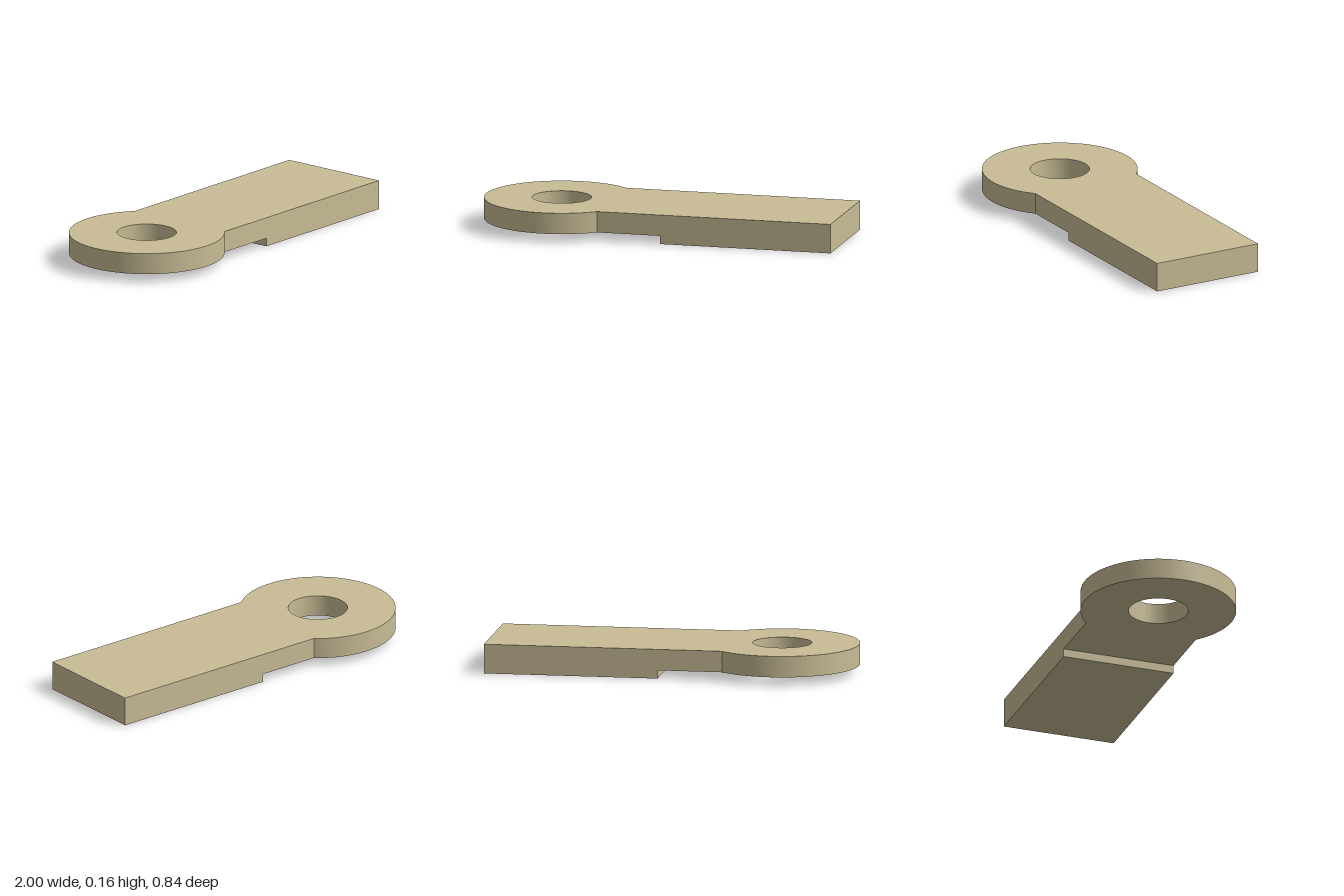
import * as THREE from 'three';
import { toCreasedNormals } from 'three/addons/utils/BufferGeometryUtils.js';

export function createModel() {
  const group = new THREE.Group();
  const material = new THREE.MeshStandardMaterial({ color: 0xc8bc96 });

  const top = 0.16, step = 0.045;          // top face and underside of the thin part
  const eyeX = -0.58, eyeR = 0.42, holeR = 0.16;
  const halfWidth = 0.315, endX = 1, padX = 0.05;

  // Plate outline: round eye running into a straight bar
  const joint = Math.asin(halfWidth / eyeR);
  const outline = new THREE.Shape();
  outline.moveTo(endX, -halfWidth);
  outline.lineTo(endX, halfWidth);
  outline.absarc(eyeX, 0, eyeR, joint, Math.PI * 2 - joint, false);
  outline.closePath();

  // Round hole through the eye
  const hole = new THREE.Path();
  hole.absarc(eyeX, 0, holeR, 0, Math.PI * 2, true);
  outline.holes.push(hole);

  const plateGeometry = new THREE.ExtrudeGeometry(outline, {
    depth: top - step, bevelEnabled: false, curveSegments: 72,
  });
  plateGeometry.rotateX(-Math.PI / 2).translate(0, step, 0);
  const plate = new THREE.Mesh(toCreasedNormals(plateGeometry, Math.PI / 6), material);
  plate.name = 'eyePlate';
  group.add(plate);

  // Thicker underside of the bar, ending in a step
  const pad = new THREE.Mesh(new THREE.BoxGeometry(endX - padX, step, halfWidth * 2), material);
  pad.position.set((endX + padX) / 2, step / 2, 0);
  pad.name = 'barUnderside';
  group.add(pad);

  return group;
}
